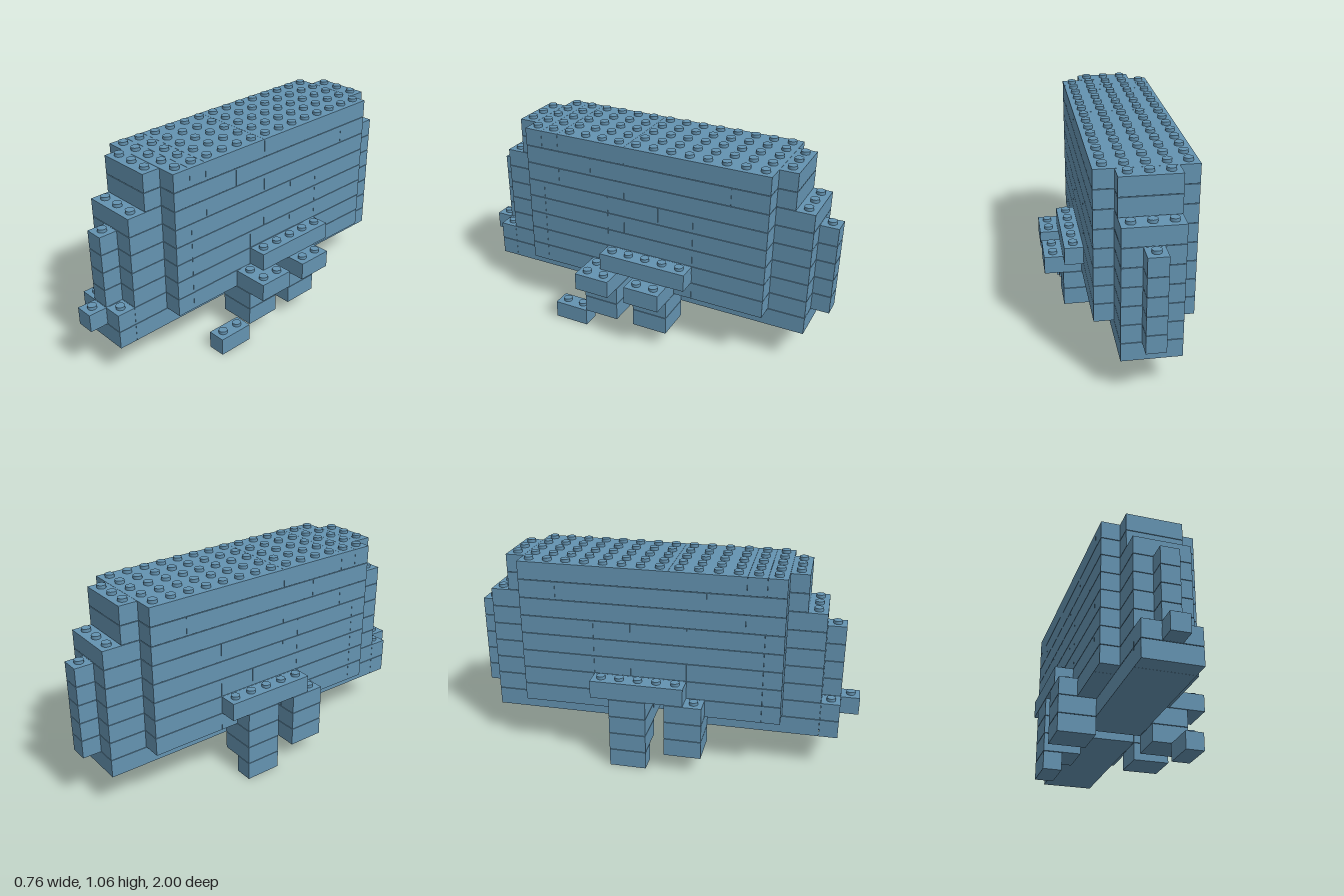
import * as THREE from 'three';
import { mergeGeometries } from 'three/addons/utils/BufferGeometryUtils.js';

const P = 2 / 21;          // stud pitch, also the layer height
const GAP_Y = 0.003;       // seam between layers
const GAP = 0.001;         // seam between neighbouring bricks
const STUD_R = 0.0225, STUD_H = 0.016;

export function createModel() {
  const model = new THREE.Group();
  const blue = new THREE.MeshStandardMaterial({ color: 0x6493b1 });
  blue.name = 'sand blue';

  // part name -> list of bricks [column, layer, row, columns, rows]
  const parts = {};
  const filled = new Set();
  const brick = (part, x, y, z, w, d) => {
    (parts[part] ??= []).push([x, y, z, w, d]);
    for (let i = x; i < x + w; i++)
      for (let k = z; k < z + d; k++) filled.add(`${i},${y},${k}`);
  };

  // Wide trunk: each layer is cut into bricks at the listed rows
  const cuts = {
    4: [3, 7, 11, 12, 16, 17],
    5: [3, 7, 9, 12, 16, 17],
    6: [3, 7, 11, 12, 16, 17],
    7: [3, 7, 9, 12, 16, 17],
    8: [3, 11, 15, 17],
    9: [3, 5, 13, 17],
    10: [3, 11, 15, 16, 17],
  };
  for (const [layer, rows] of Object.entries(cuts))
    for (let n = 0; n < rows.length - 1; n++)
      brick('trunk', 1, +layer, rows[n], 5, rows[n + 1] - rows[n]);

  // Lowest wide layer and narrow belly, both open between the legs
  brick('trunk', 1, 3, 3, 5, 4);
  brick('trunk', 1, 3, 7, 5, 3);
  brick('trunk', 1, 3, 11, 5, 5);
  brick('trunk', 1, 3, 16, 5, 1);
  brick('belly', 2, 2, 1, 3, 9);
  brick('belly', 2, 2, 11, 3, 8);
  brick('belly', 2, 2, 19, 3, 1);

  // Stepped rear and front ends
  for (let y = 3; y <= 8; y++) {
    brick('rearEnd', 2, y, 1, 3, 2);
    brick('frontEnd', 2, y, 17, 3, 2);
  }
  for (const y of [9, 10]) {
    brick('rearEnd', 2, y, 2, 3, 1);
    brick('frontEnd', 2, y, 17, 3, 1);
  }

  // Centre ridges on both ends
  for (let y = 3; y <= 7; y++) {
    brick('rearRidge', 3, y, 0, 1, 1);
    brick('frontRidge', 3, y, 19, 1, 1);
  }

  // Jaw and nose
  brick('jaw', 2, 3, 19, 1, 1);
  brick('jaw', 4, 3, 19, 1, 1);
  brick('nose', 3, 3, 20, 1, 1);

  // Hip bars along both flanks
  brick('rightHipBar', 0, 4, 7, 1, 5);
  brick('leftHipBar', 6, 4, 7, 1, 5);

  // Legs: two rows long, stepping outward from the belly
  for (const [end, z] of [['Rear', 8], ['Front', 11]]) {
    brick(`right${end}Leg`, 0, 3, z, 1, 2);
    brick(`left${end}Leg`, 6, 3, z, 2, 2);
    for (const y of [1, 2]) {
      brick(`right${end}Leg`, 0, y, z, 2, 2);
      brick(`left${end}Leg`, 5, y, z, 2, 2);
    }
  }

  // Feet in mid stride
  brick('rightRearFoot', 0, 0, 8, 1, 2);
  brick('leftFrontFoot', 6, 0, 13, 1, 2);

  // Turn every part into bricks, with studs wherever nothing sits above
  for (const [name, bricks] of Object.entries(parts)) {
    const pieces = [];
    for (const [x, y, z, w, d] of bricks) {
      const box = new THREE.BoxGeometry(w * P - GAP, P - GAP_Y, d * P - GAP);
      box.translate((x + w / 2 - 4) * P, y * P + (P - GAP_Y) / 2, (z + d / 2 - 10.5) * P);
      pieces.push(box);
      for (let i = x; i < x + w; i++) {
        for (let k = z; k < z + d; k++) {
          if (filled.has(`${i},${y + 1},${k}`)) continue;
          const stud = new THREE.CylinderGeometry(STUD_R, STUD_R, STUD_H, 16);
          stud.translate((i - 3.5) * P, (y + 1) * P - GAP_Y + STUD_H / 2, (k - 10) * P);
          pieces.push(stud);
        }
      }
    }
    const mesh = new THREE.Mesh(mergeGeometries(pieces), blue);
    mesh.name = name;
    model.add(mesh);
  }
  return model;
}
